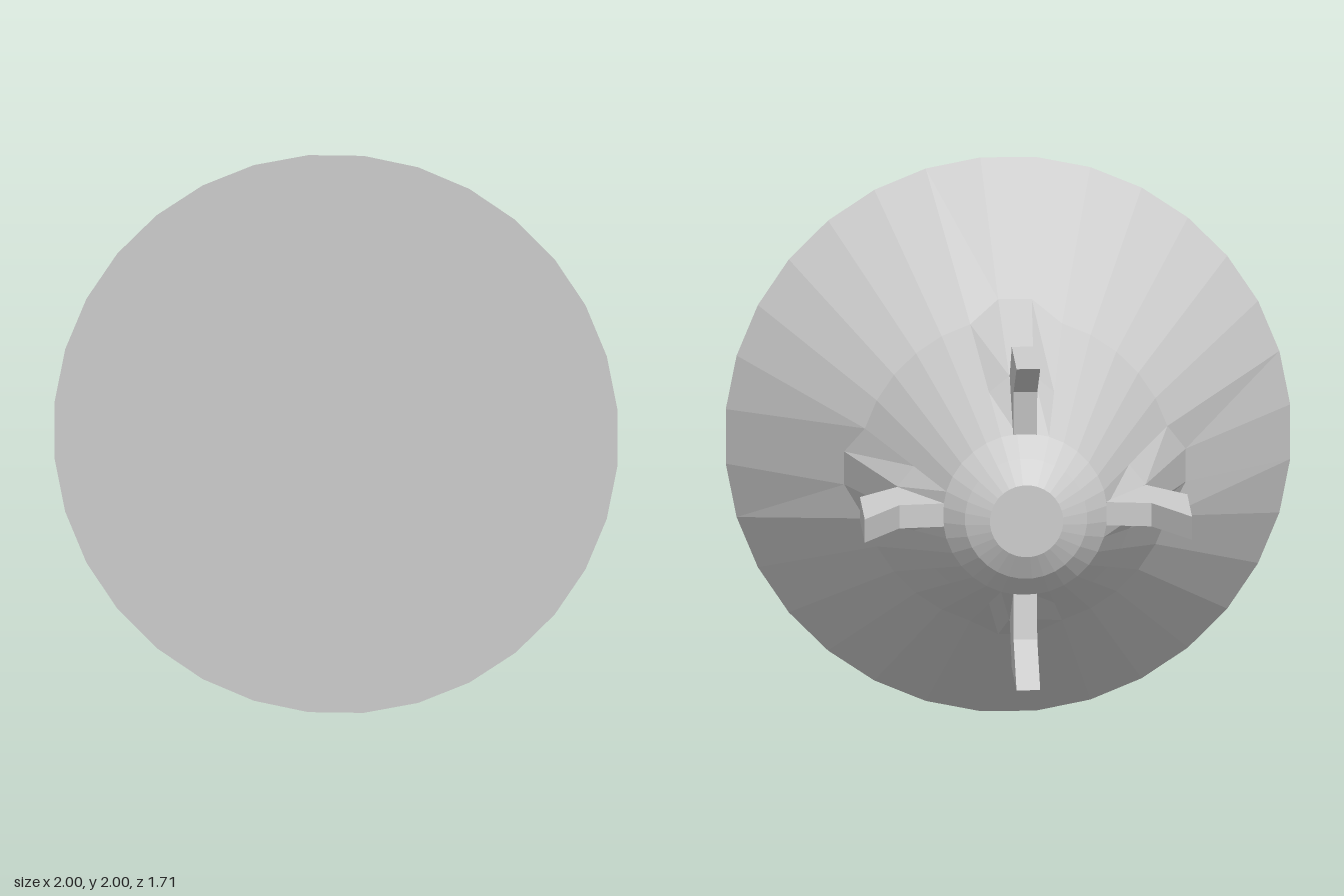
import * as THREE from 'three';

const SIDES = 32;
const grey = new THREE.MeshStandardMaterial({ color: 0xcccccc });
grey.name = 'grey';

// Profile [radius, z] at one corner; corners beside the fins form raised ridges
function profile(k) {
  const ridge = k % 8 === 0 || k % 8 === 7;
  return [
    [0, 0.85], [1.005, 0.85],
    ridge ? [0.608, 0.27] : [0.56, 0.17],
    ridge ? [0.442, -0.28] : [0.398, -0.28],
    [0.292, -0.58], [0.217, -0.66], [0.13, -0.705], [0, -0.705],
  ];
}

// Closed flared body, faceted, running from the wide front disc to the blunt nose at the back
function makeBody() {
  const pos = [];
  const corner = (k, j) => {
    const [r, z] = profile(k % SIDES)[j];
    const a = ((k + 0.5) / SIDES) * Math.PI * 2;
    return [r * Math.cos(a), r * Math.sin(a), z];
  };
  const rows = profile(0).length;
  for (let k = 0; k < SIDES; k++) {
    for (let j = 0; j < rows - 1; j++) {
      const a = corner(k, j), b = corner(k + 1, j);
      const c = corner(k + 1, j + 1), d = corner(k, j + 1);
      if (j < rows - 2) pos.push(...a, ...d, ...c);
      if (j > 0) pos.push(...a, ...c, ...b);
    }
  }
  const geo = new THREE.BufferGeometry();
  geo.setAttribute('position', new THREE.Float32BufferAttribute(pos, 3));
  geo.computeVertexNormals();
  return geo;
}

// Swept fin drawn as (radius, z), its root sunk into the body
function makeFin() {
  const shape = new THREE.Shape([
    [0.44, -0.28], [0.58, -0.455], [0.58, -0.855], [0.447, -0.607],
    [0.288, -0.582], [0.22, -0.5], [0.36, -0.28],
  ].map(([r, z]) => new THREE.Vector2(r, z)));
  const geo = new THREE.ExtrudeGeometry(shape, { depth: 0.084, bevelEnabled: false });
  geo.translate(0, 0, -0.042);
  geo.rotateX(Math.PI / 2);
  return geo;
}

export function createModel() {
  const model = new THREE.Group();
  model.name = 'flaredRocket';

  const body = new THREE.Mesh(makeBody(), grey);
  body.name = 'body';
  body.position.y = 1;
  model.add(body);

  // Four fins, a quarter turn apart
  const finGeometry = makeFin();
  ['leftFin', 'topFin', 'rightFin', 'bottomFin'].forEach((name, i) => {
    const fin = new THREE.Mesh(finGeometry, grey);
    fin.name = name;
    fin.position.y = 1;
    fin.rotation.z = (i * Math.PI) / 2;
    model.add(fin);
  });
  return model;
}
